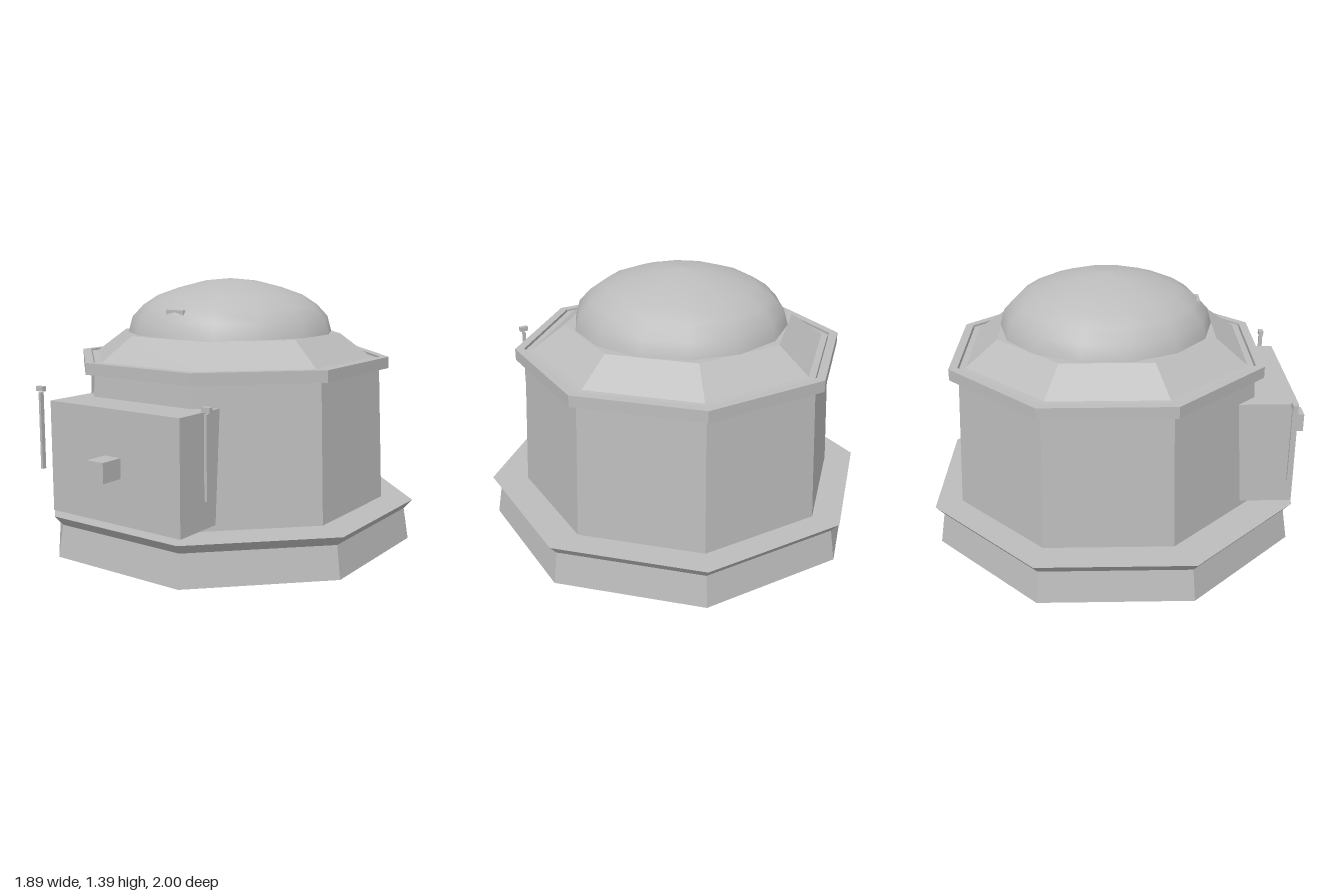
import * as THREE from 'three';

const stone = new THREE.MeshStandardMaterial({ color: 0xbcbcbc, side: THREE.DoubleSide });
stone.name = 'paleGrey';

export function createModel() {
  const model = new THREE.Group();
  model.name = 'domedBuilding';

  const add = (name, geometry, x = 0, y = 0, z = 0) => {
    const mesh = new THREE.Mesh(geometry, stone);
    mesh.name = name;
    mesh.position.set(x, y, z);
    model.add(mesh);
    return mesh;
  };
  const box = (name, w, h, d, x, y, z) => add(name, new THREE.BoxGeometry(w, h, d), x, y, z);

  // Flat-sided octagonal shell; profile holds [half width across flats, height]
  const octagon = (name, profile, z) => {
    const points = profile.map(([a, y]) => new THREE.Vector2(a / Math.cos(Math.PI / 8), y));
    const geometry = new THREE.LatheGeometry(points, 8, Math.PI / 8).toNonIndexed();
    geometry.computeVertexNormals();
    return add(name, geometry, 0, 0, z);
  };

  // Plinth with a flared lip and flat deck, open underneath
  octagon('plinth', [[0.93, 0], [0.905, 0.165], [0.945, 0.215], [0, 0.215]], -0.055);

  // Tapered walls, cornice ring, and sloping roof
  const zc = -0.087;
  octagon('walls', [[0.78, 0.215], [0.75, 0.92]], zc);
  octagon('cornice', [[0.75, 0.92], [0.795, 0.92], [0.795, 0.98], [0.752, 0.98], [0.752, 0.92]], zc);
  octagon('roof', [[0.745, 0.92], [0.745, 0.972], [0.712, 0.975], [0.555, 1.1], [0, 1.1]], zc);

  // Smooth, flattened dome
  const domeProfile = [[0.557, 1.1], [0.535, 1.18], [0.475, 1.245], [0.395, 1.297],
    [0.28, 1.338], [0.14, 1.374], [0, 1.387]].map(([r, y]) => new THREE.Vector2(r, y));
  add('dome', new THREE.LatheGeometry(domeProfile, 14), 0, 0, -0.09);
  box('domeLedge', 0.11, 0.025, 0.08, 0, 1.227, 0.36);

  // Entrance block with its projecting peg
  box('entranceBlock', 0.81, 0.56, 0.38, 0, 0.525, 0.69);
  box('entrancePeg', 0.1, 0.1, 0.14, 0, 0.525, 0.93);

  // Slim posts with caps on both sides of the entrance
  for (const side of [-1, 1]) {
    box('post', 0.014, 0.395, 0.022, side * 0.521, 0.632, 0.833);
    box('postCap', 0.046, 0.025, 0.025, side * 0.521, 0.848, 0.833);
  }

  return model;
}
